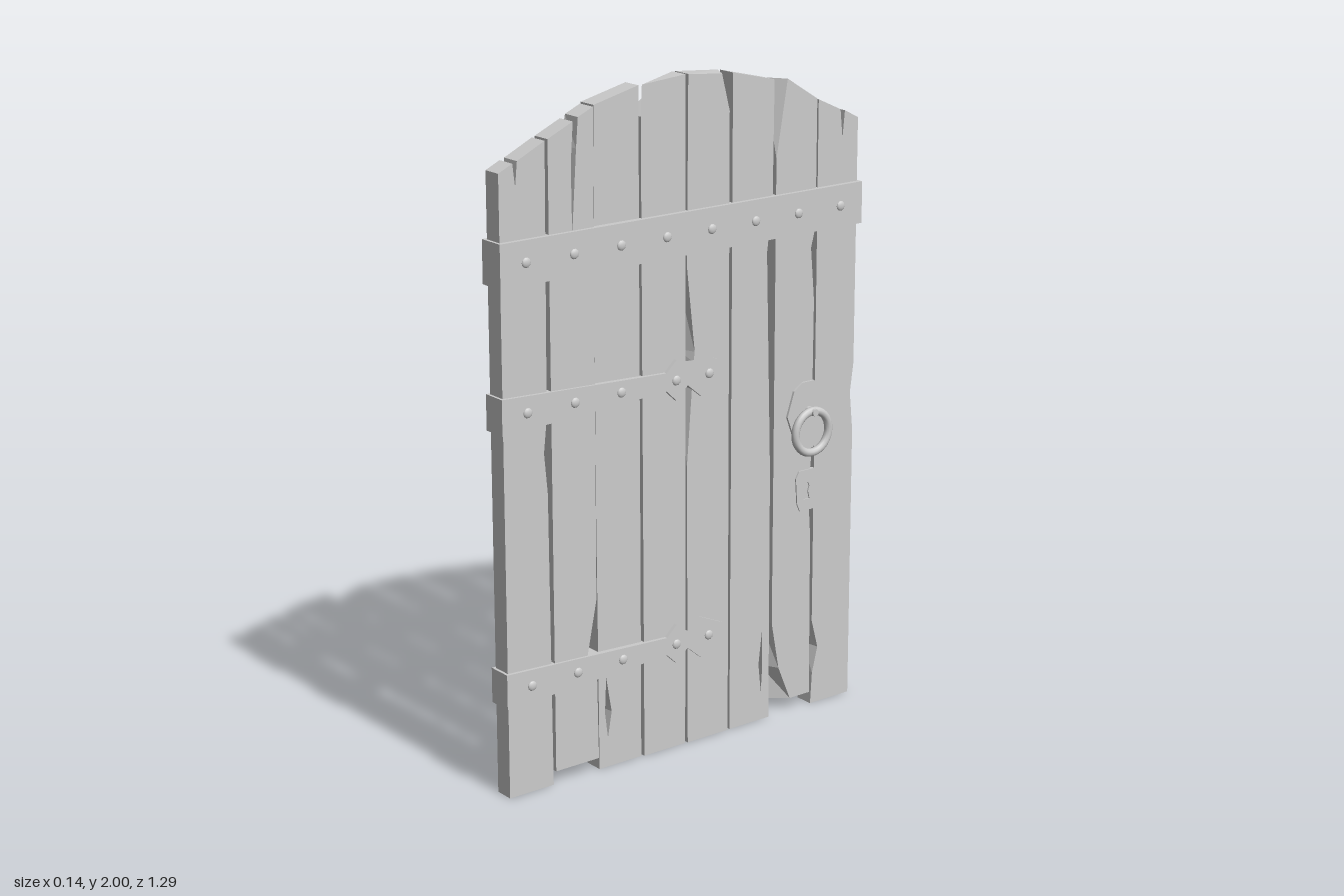
import * as THREE from 'three';

const grey = new THREE.MeshStandardMaterial({ color: 0xcccccc, flatShading: true, side: THREE.DoubleSide });
const smooth = new THREE.MeshStandardMaterial({ color: 0xcccccc });
const v2 = (pts) => pts.map(([u, y]) => new THREE.Vector2(u, y));

// Plank between two outlines. Each point is [u, y, front shift, back shift],
// where a shift moves that point along u on one face only, as a splintered edge.
function plankGeometry(outline, hole, d0, d1) {
  const loops = hole ? [outline, hole] : [outline];
  const all = loops.flat();
  const pos = [];
  const put = (p, front) => pos.push(p[0] + ((front ? p[2] : p[3]) || 0), p[1], front ? d1 : d0);
  for (const front of [true, false]) {
    const flat = (loop) => loop.map((p) => new THREE.Vector2(p[0] + ((front ? p[2] : p[3]) || 0), p[1]));
    for (const [a, b, c] of THREE.ShapeUtils.triangulateShape(flat(outline), hole ? [flat(hole)] : [])) {
      for (const i of front ? [a, b, c] : [a, c, b]) put(all[i], front);
    }
  }
  for (const loop of loops) {
    loop.forEach((p, i) => {
      const q = loop[(i + 1) % loop.length];
      put(p, false); put(q, false); put(q, true);
      put(p, false); put(q, true); put(p, true);
    });
  }
  const g = new THREE.BufferGeometry();
  g.setAttribute('position', new THREE.Float32BufferAttribute(pos, 3));
  g.computeVertexNormals();
  return g;
}

function plate(name, pts, d0, d1, hole) {
  const shape = new THREE.Shape(v2(pts));
  if (hole) shape.holes.push(new THREE.Path(v2(hole)));
  const g = new THREE.ExtrudeGeometry(shape, { depth: d1 - d0, bevelEnabled: false });
  const m = new THREE.Mesh(g.translate(0, 0, d0), grey);
  m.name = name;
  return m;
}

const archY = (u) => {
  const a = Math.abs(u);
  return a < 0.32 ? 2 - 0.5 * a * a : 1.949 - (a - 0.32) * 0.46;
};

// Wear of each plank: edges listed bottom to top, top listed right to left
const wear = [
  { right: [[-0.49, 0.88], [-0.493, 1.0, -0.008, 0], [-0.49, 1.1]], top: [[-0.575, 1.83], [-0.582, 1.76], [-0.59, 1.825]] },
  { bottom: 0.04, right: [[-0.328, 0.3], [-0.328, 0.35, -0.036, 0], [-0.328, 0.53]],
    top: [[-0.375, 1.925], [-0.39, 1.84, 0.008, 0], [-0.398, 1.6], [-0.4, 1.8], [-0.392, 1.915]] },
  { hole: [[-0.285, 0.09], [-0.295, 0.17, 0, 0.006], [-0.29, 0.28], [-0.275, 0.17, 0.004, -0.004]],
    left: [[-0.32, 1.5], [-0.32, 1.2, 0, 0.025], [-0.32, 0.75]] },
  { cornerR: 0, left: [[-0.16, 1.9], [-0.16, 1.88]], cornerL: [0, 0.11] },
  { left: [[0, 1.45], [0.006, 1.2, 0.022, 0], [0.006, 1.17, 0.018, 0], [0, 0.86]],
    right: [[0.152, 1.88]], cornerR: [-0.032, 0] },
  { right: [[0.313, 0.78], [0.312, 1.45, -0.018, 0], [0.313, 1.6]],
    hole: [[0.285, 0.09], [0.275, 0.18, 0, -0.004], [0.287, 0.28], [0.295, 0.17, -0.005, 0]] },
  { bottom: 0.04, cornerB: [0.075, 0], left: [[0.325, 1.72], [0.325, 0.3], [0.325, 0.15, 0.028, 0]], cornerL: [0.04, 0],
    right: [[0.472, 0.55], [0.467, 0.62], [0.467, 0.75], [0.472, 0.8], [0.474, 1.28], [0.472, 1.44, -0.012, 0], [0.476, 1.5]] },
  { left: [[0.486, 0.27], [0.51, 0.18, 0, -0.01], [0.49, 0.1]], right: [[0.636, 0.85], [0.63, 0.97, -0.006, 0], [0.636, 1.06]],
    top: [[0.585, 1.83], [0.577, 1.75], [0.568, 1.835]] },
];

function makePlank(i) {
  const w = wear[i], a = -0.636 + 0.16 * i, b = a + 0.152, y0 = w.bottom || 0;
  const outline = [
    [a, y0, ...(w.cornerB || [])], [b, y0], ...(w.right || []),
    [b, archY(b), ...(w.cornerR || [])], ...(w.top || []),
    [a, archY(a), ...(w.cornerL || [])], ...(w.left || []),
  ];
  const shift = [0, 0.002, -0.006, -0.001, 0.001, 0, 0.001, -0.002][i];
  const m = new THREE.Mesh(plankGeometry(outline, w.hole, -0.031 + shift, 0.028 + shift), grey);
  m.name = 'plank' + (i + 1);
  return m;
}

export function createModel() {
  const root = new THREE.Group();
  root.name = 'door';
  const door = new THREE.Group(); // built facing +z, then turned to face +x
  door.name = 'doorLeaf';
  door.rotation.y = Math.PI / 2;
  root.add(door);

  for (let i = 0; i < 8; i++) door.add(makePlank(i));

  // Iron strap around the top
  door.add(plate('topStrap', [[-0.645, 1.49], [0.643, 1.49], [0.643, 1.615], [-0.645, 1.615]], -0.042, 0.042));

  // Strap hinges with arrow-shaped ends
  const half = [[-0.645, 0.052], [-0.08, 0.027], [-0.045, 0.06], [-0.004, 0.022], [0.045, 0.063], [0.125, 0.028], [0.135, 0.015]];
  const hingeYs = [1.13, 0.328];
  for (const y of hingeYs) {
    const pts = [...half.map(([u, h]) => [u, y - h]), ...half.map(([u, h]) => [u, y + h]).reverse()];
    door.add(plate('strapHinge', pts, -0.038, 0.038));
  }

  // Rivets on both faces
  const dome = new THREE.SphereGeometry(0.015, 10, 4, 0, Math.PI * 2, 0, Math.PI / 2).scale(1, 0.45, 1).rotateX(Math.PI / 2);
  const rivet = (u, y, d) => {
    for (const s of [1, -1]) {
      const m = new THREE.Mesh(dome, smooth);
      m.name = 'rivet';
      m.position.set(u, y, s * d);
      if (s < 0) m.rotation.y = Math.PI;
      door.add(m);
    }
  };
  for (let i = 0; i < 8; i++) rivet(-0.56 + 0.16 * i, 1.553, 0.042);
  for (const y of hingeYs) for (const u of [-0.56, -0.4, -0.24, -0.045, 0.075]) rivet(u, y, 0.038);

  // Ring handle, its backplate and the keyhole plate on both faces
  const mirrorPts = (c, pts) => [...pts.map(([u, y]) => [c + u, y]), ...pts.map(([u, y]) => [c - u, y]).reverse()];
  for (const s of [1, -1]) {
    const side = new THREE.Group();
    side.name = s > 0 ? 'frontHandle' : 'backHandle';
    const at = (d0, d1) => (s > 0 ? [d0, d1] : [-d1, -d0]);
    side.add(plate('handlePlate', mirrorPts(0.452, [[0.02, 0.83], [0.05, 0.86], [0.08, 0.94], [0.065, 0.985], [0.055, 1.015], [0.022, 1.037]]), ...at(0.02, 0.036)));
    side.add(plate('keyholePlate', mirrorPts(0.452, [[0.025, 0.635], [0.036, 0.66], [0.042, 0.74], [0.03, 0.762]]), ...at(0.02, 0.033),
      mirrorPts(0.452, [[0.012, 0.67], [0.006, 0.695], [0.011, 0.71], [0.006, 0.722]])));

    const ring = new THREE.Mesh(new THREE.TorusGeometry(0.064, 0.0125, 10, 32), smooth);
    ring.name = 'ring';
    ring.position.set(0.452, 0.886, s * 0.054);
    const stud = new THREE.Mesh(new THREE.CylinderGeometry(0.011, 0.014, 0.046, 12).rotateX(s * Math.PI / 2), smooth);
    stud.name = 'ringStud';
    stud.position.set(0.452, 0.948, s * 0.048);
    side.add(ring, stud);
    door.add(side);
  }
  return root;
}
